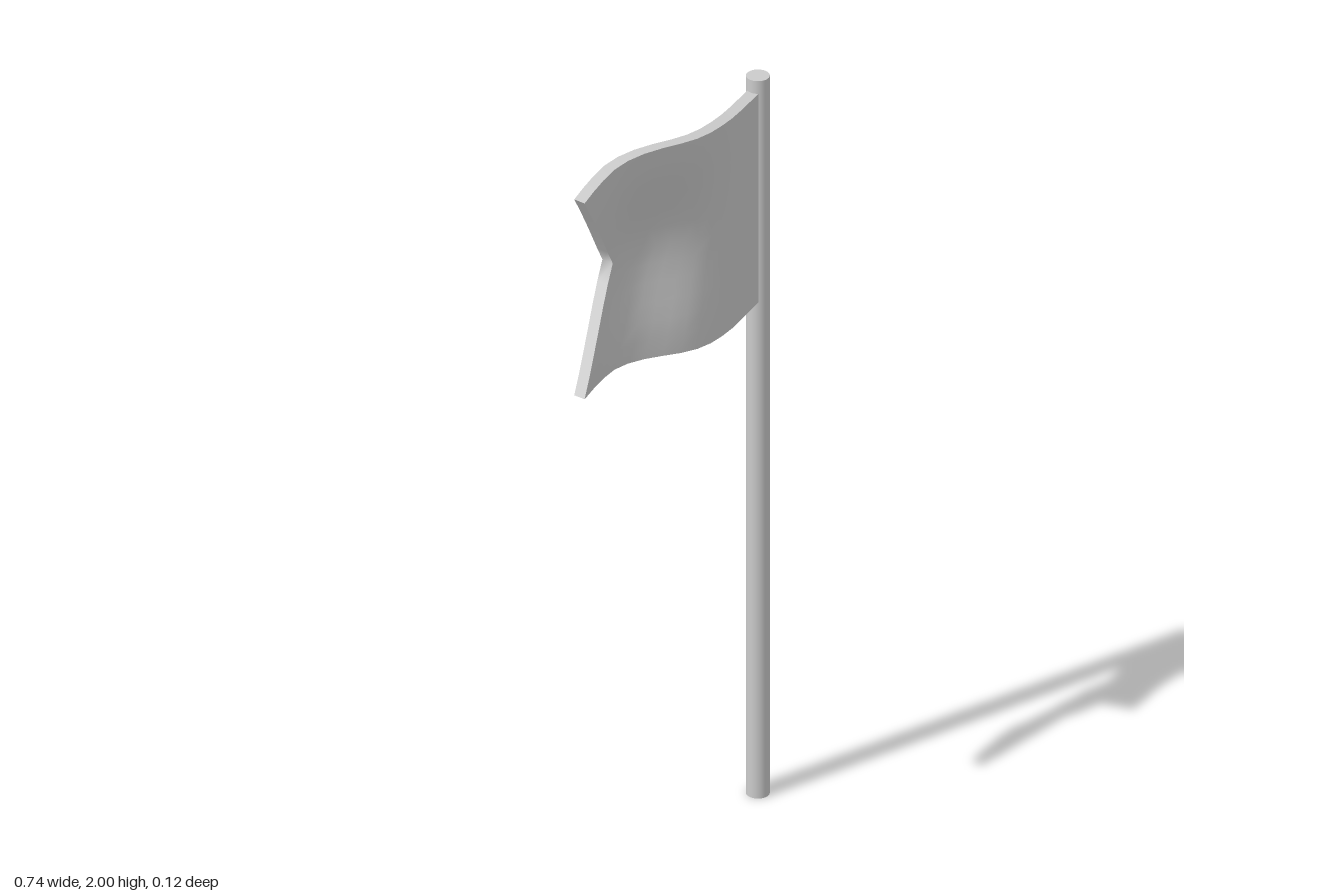
import * as THREE from 'three';

// Smooth curve through [x, value] pairs, listed by rising x
function curve(points) {
  const spline = new THREE.CubicInterpolant(points.map(p => p[0]), points.map(p => p[1]), 1);
  return x => spline.evaluate(x)[0];
}

// Outline heights of the cloth
const topEdge = curve([[-0.37, 1.972], [-0.25, 1.988], [-0.12, 1.996], [0, 1.99], [0.2, 1.972], [0.33, 1.964]]);
const bottomEdge = curve([[-0.37, 1.426], [-0.25, 1.434], [-0.15, 1.427], [0, 1.405], [0.15, 1.39], [0.33, 1.384]]);
// Depth of the wave along the edges and along the middle
const edgeWave = curve([[-0.37, 0.007], [-0.29, -0.009], [-0.2, -0.018], [-0.13, -0.005], [0.03, 0.044], [0.125, 0.041], [0.33, -0.003]]);
const middleWave = curve([[-0.37, -0.005], [-0.2, -0.04], [-0.145, -0.046], [-0.085, -0.037], [0.04, 0.014], [0.12, 0.035], [0.33, -0.003]]);

function buildFlag() {
  const geometry = new THREE.BoxGeometry(1, 1, 1, 14, 12, 1);
  const pos = geometry.attributes.position;
  for (let i = 0; i < pos.count; i++) {
    const u = 0.5 - pos.getX(i); // 0 at the pole, 1 at the tail
    const v = pos.getY(i) + 0.5;
    const fromMiddle = Math.abs(2 * v - 1);
    const tail = THREE.MathUtils.lerp(-0.2, -0.37, fromMiddle); // swallowtail notch
    const x = THREE.MathUtils.lerp(0.322, tail, u);
    const y = THREE.MathUtils.lerp(bottomEdge(x), topEdge(x), v);
    const bulge = THREE.MathUtils.smoothstep(1 - fromMiddle, 0, 1);
    const z = THREE.MathUtils.lerp(edgeWave(x), middleWave(x), bulge);
    pos.setXYZ(i, x, y, z + pos.getZ(i) * 0.032);
  }
  geometry.computeVertexNormals();
  return geometry;
}

export function createModel() {
  const model = new THREE.Group();
  model.name = 'flagOnPole';
  const material = new THREE.MeshStandardMaterial({ color: 0xcccccc });

  // Round upright pole
  const pole = new THREE.Mesh(new THREE.CylinderGeometry(0.029, 0.029, 2, 24), material);
  pole.name = 'pole';
  pole.position.set(0.343, 1, -0.004);

  // Waving swallowtail cloth
  const flag = new THREE.Mesh(buildFlag(), material);
  flag.name = 'flag';

  model.add(pole, flag);
  return model;
}
